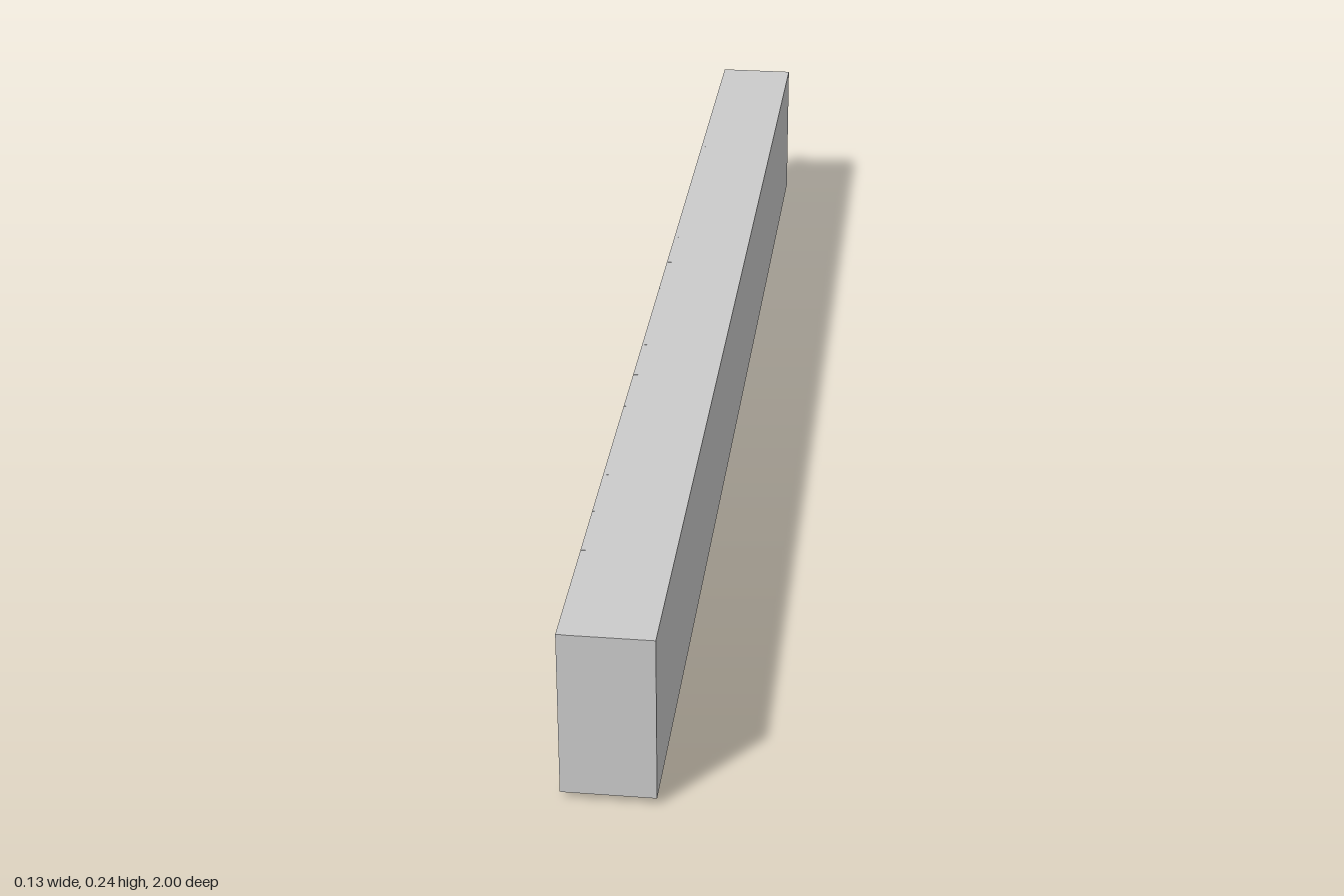
import * as THREE from 'three';

const BODY_BACK = 0.066, BODY_FRONT = -0.05, DOOR_FRONT = -0.057;
const BOTTOM = 0.01, TOP = 0.243;
const HEIGHT = TOP - BOTTOM;

const material = new THREE.MeshStandardMaterial({ color: 0xcccccc });
const handleMaterial = new THREE.MeshStandardMaterial({ color: 0xcccccc, side: THREE.DoubleSide });

function box(name, x0, x1, y0, y1, z0, z1) {
  const mesh = new THREE.Mesh(new THREE.BoxGeometry(x1 - x0, y1 - y0, z1 - z0), material);
  mesh.position.set((x0 + x1) / 2, (y0 + y1) / 2, (z0 + z1) / 2);
  mesh.name = name;
  return mesh;
}

// Door with an optional recessed panel; frame width is a tenth of each side
function door(z0, z1, recessed) {
  const group = new THREE.Group();
  group.name = 'door';
  const a = z0 + 0.0004, b = z1 - 0.0004;
  if (!recessed) {
    group.add(box('doorSlab', DOOR_FRONT, BODY_FRONT, BOTTOM, TOP, a, b));
    return group;
  }
  const mz = (z1 - z0) * 0.1, my = HEIGHT * 0.1;
  const rect = (path, u0, v0, u1, v1) =>
    path.moveTo(u0, v0).lineTo(u1, v0).lineTo(u1, v1).lineTo(u0, v1).closePath();
  const shape = new THREE.Shape();
  rect(shape, a, BOTTOM, b, TOP);
  const hole = new THREE.Path();
  rect(hole, z0 + mz, BOTTOM + my, z1 - mz, TOP - my);
  shape.holes.push(hole);
  const geometry = new THREE.ExtrudeGeometry(shape, { depth: BODY_FRONT - DOOR_FRONT, bevelEnabled: false });
  geometry.rotateY(-Math.PI / 2); // shape x becomes z, depth runs towards -x
  const frame = new THREE.Mesh(geometry, material);
  frame.position.x = BODY_FRONT;
  frame.name = 'doorFrame';
  group.add(frame);
  group.add(box('doorPanel', DOOR_FRONT + 0.005, BODY_FRONT, BOTTOM + my, TOP - my, z0 + mz, z1 - mz));
  return group;
}

// Bent bar handle with rounded corners, upright by default
function handleGeometry() {
  const h = 0.022, out = -0.0083, r = 0.004;
  const v = (x, y) => new THREE.Vector3(x, y, 0);
  const path = new THREE.CurvePath();
  path.add(new THREE.LineCurve3(v(0, -h), v(out + r, -h)));
  path.add(new THREE.QuadraticBezierCurve3(v(out + r, -h), v(out, -h), v(out, -h + r)));
  path.add(new THREE.LineCurve3(v(out, -h + r), v(out, h - r)));
  path.add(new THREE.QuadraticBezierCurve3(v(out, h - r), v(out, h), v(out + r, h)));
  path.add(new THREE.LineCurve3(v(out + r, h), v(0, h)));
  return new THREE.TubeGeometry(path, 48, 0.0017, 8, false);
}

export function createModel() {
  const model = new THREE.Group();
  model.name = 'wallCabinets';

  model.add(box('cabinetBody', BODY_FRONT, BODY_BACK, BOTTOM, TOP, -1, 1));

  // Doors along the run: start, end, recessed panel
  const doors = [
    [-1, -0.8, true], [-0.8, -0.6, true], [-0.6, -0.4, false],
    [-0.4, -0.3, true], [-0.3, -0.2, true], [-0.2, -0.1, true], [-0.1, 0, true],
    [0, 0.2, true], [0.2, 0.3, true], [0.3, 0.4, true],
    [0.4, 0.6, false], [0.6, 0.7, false], [0.7, 0.8, false], [0.8, 1, false],
  ];
  for (const [z0, z1, recessed] of doors) model.add(door(z0, z1, recessed));

  const geometry = handleGeometry();
  const addHandle = (name, y, z, turn) => {
    const mesh = new THREE.Mesh(geometry, handleMaterial);
    mesh.name = name;
    mesh.position.set(DOOR_FRONT, y, z);
    mesh.rotation.x = turn;
    model.add(mesh);
  };
  // Upright handles on the side-hinged doors
  for (const z of [-0.585, -0.315, -0.283, -0.116, -0.084, 0.284, 0.316, 0.415, 0.684, 0.716, 0.815])
    addHandle('uprightHandle', 0.051, z, 0);
  // Level handles below the lift-up doors
  for (const z of [-0.9, -0.7, 0.1]) addHandle('levelHandle', 0.0017, z, Math.PI / 2);

  return model;
}
